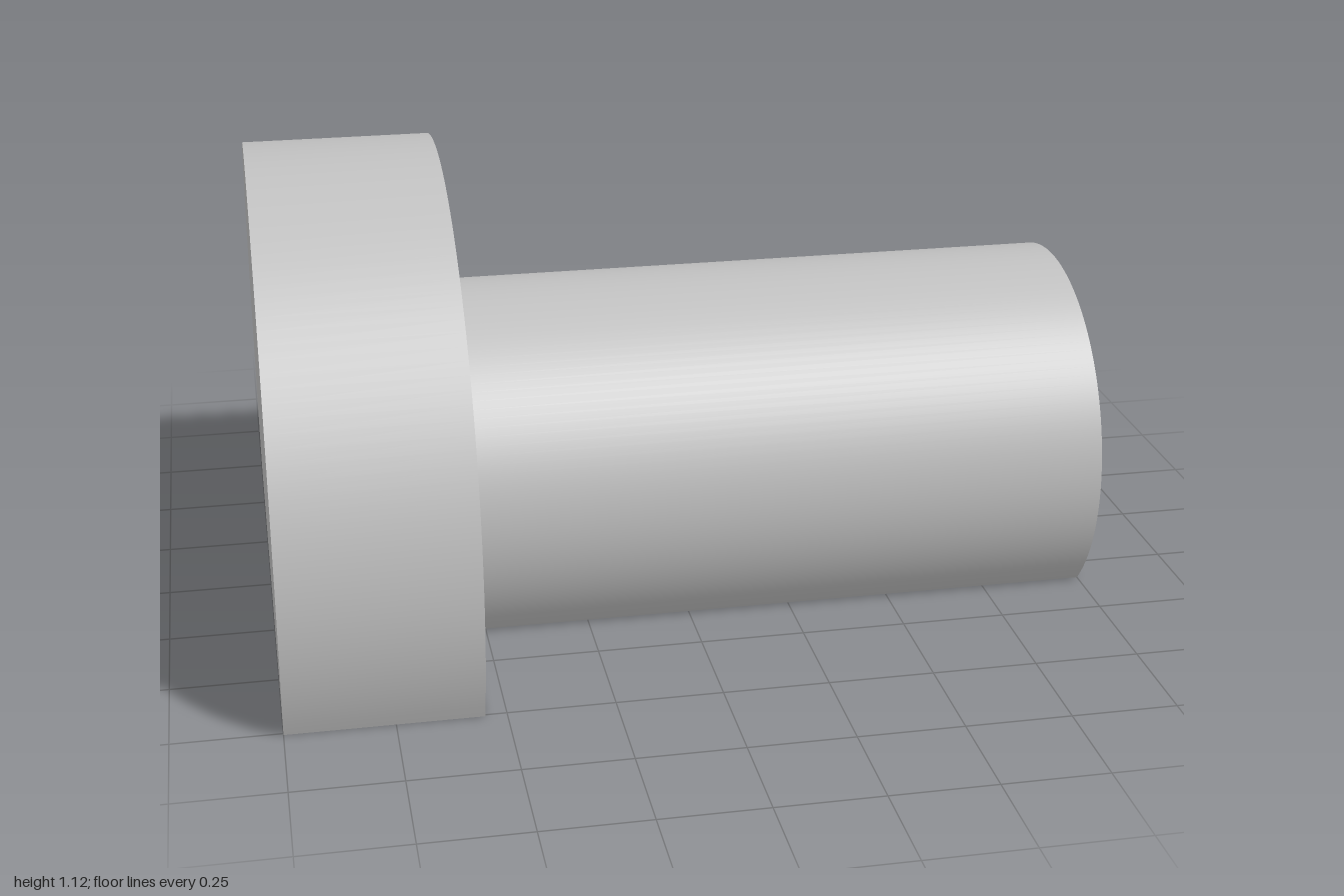
import * as THREE from 'three';
import { toCreasedNormals } from 'three/addons/utils/BufferGeometryUtils.js';

const AXIS_Y = 0.303; // height of the shared axis above the flat underside

// Round bar along x, cut flat at y = 0
function flattenedBar(name, radius, x0, x1, material) {
  const start = -Math.asin(AXIS_Y / radius);
  const shape = new THREE.Shape();
  shape.absarc(0, AXIS_Y, radius, start, Math.PI - start, false);
  shape.closePath();
  const extruded = new THREE.ExtrudeGeometry(shape, {
    depth: x1 - x0, bevelEnabled: false, curveSegments: 48,
  });
  extruded.rotateY(Math.PI / 2).translate(x0, 0, 0);
  const mesh = new THREE.Mesh(toCreasedNormals(extruded, 0.5), material);
  mesh.name = name;
  return mesh;
}

export function createModel() {
  const group = new THREE.Group();
  group.name = 'flattenedPin';
  const grey = new THREE.MeshStandardMaterial({ color: 0xc0c0c0 });
  grey.name = 'light grey';

  // Wide head and narrower shank share one flat underside
  group.add(flattenedBar('head', 0.815, -1, -0.55, grey));
  group.add(flattenedBar('shank', 0.453, -0.55, 1, grey));
  return group;
}
